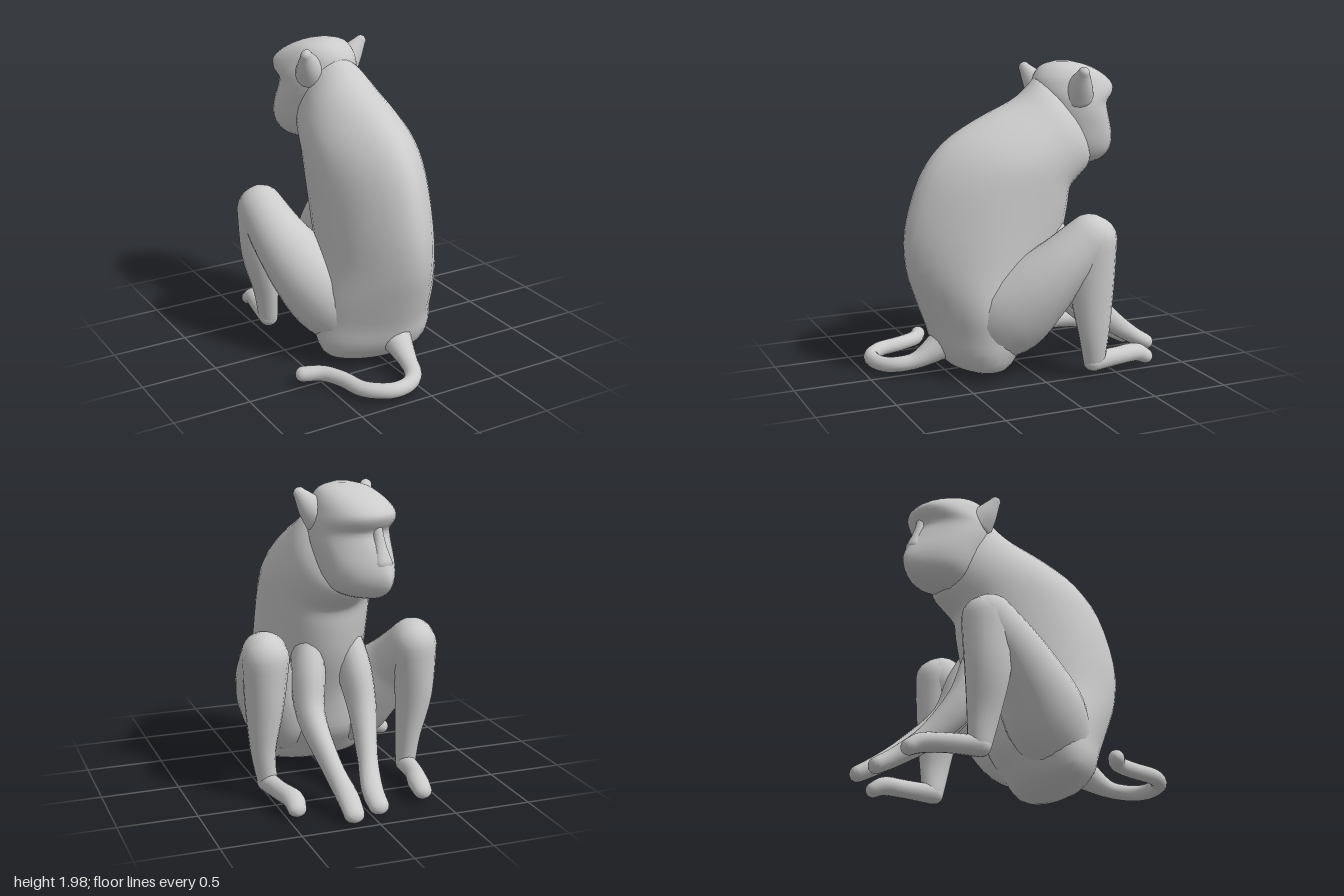
import * as THREE from 'three';

const material = new THREE.MeshStandardMaterial({ color: 0xcccccc });

// Skin a list of equal rings into a closed, smooth, outward-facing surface
function skin(rings, name) {
  const n = rings[0].length, pos = [], idx = [];
  rings.forEach(r => r.forEach(p => pos.push(p.x, p.y, p.z)));
  for (let i = 0; i < rings.length - 1; i++)
    for (let j = 0; j < n; j++) {
      const a = i * n + j, b = i * n + (j + 1) % n;
      idx.push(a, b, a + n, b, b + n, a + n);
    }
  [0, rings.length - 1].forEach((row, end) => {
    const c = new THREE.Vector3();
    rings[row].forEach(p => c.addScaledVector(p, 1 / n));
    const ci = pos.length / 3;
    pos.push(c.x, c.y, c.z);
    for (let j = 0; j < n; j++) {
      const a = row * n + j, b = row * n + (j + 1) % n;
      end ? idx.push(a, b, ci) : idx.push(b, a, ci);
    }
  });
  // Turn the faces outward using the signed volume
  const v = i => new THREE.Vector3().fromArray(pos, i * 3);
  let volume = 0;
  for (let i = 0; i < idx.length; i += 3) volume += v(idx[i]).dot(v(idx[i + 1]).cross(v(idx[i + 2])));
  if (volume < 0) idx.reverse();
  const g = new THREE.BufferGeometry();
  g.setAttribute('position', new THREE.Float32BufferAttribute(pos, 3));
  g.setIndex(idx);
  g.computeVertexNormals();
  const mesh = new THREE.Mesh(g, material);
  mesh.name = name;
  return mesh;
}

// Smoothly interpolate between rows of numbers
function refine(rows, steps) {
  const out = [], at = i => rows[Math.min(Math.max(i, 0), rows.length - 1)];
  for (let i = 0; i < rows.length - 1; i++)
    for (let s = 0; s < steps; s++) {
      const t = s / steps;
      out.push(rows[i].map((b, k) => {
        const a = at(i - 1)[k], c = at(i + 1)[k], d = at(i + 2)[k];
        return b + 0.5 * t * (c - a + t * (2 * a - 5 * b + 4 * c - d + t * (3 * (b - c) + d - a)));
      }));
    }
  out.push(rows[rows.length - 1]);
  return out;
}

// Body from stations [back y, back z, front y, front z, centre x, half width, front pinch, back pinch]
function body(stations, name, n = 32) {
  return skin(refine(stations, 3).map(([yb, zb, yf, zf, cx, w, kf, kb]) =>
    Array.from({ length: n }, (_, j) => {
      const a = j / n * Math.PI * 2, u = Math.cos(a);
      const pinch = 1 - (u > 0 ? kf : kb) * u * u;
      return new THREE.Vector3(cx + w * Math.sin(a) * pinch,
        (yb + yf) / 2 + u * (yf - yb) / 2, (zb + zf) / 2 + u * (zf - zb) / 2);
    })), name);
}

// Round-ended limb through [x, y, z, radius along ref, radius across ref]
function limb(rows, name, ref = [1, 0, 0], n = 16) {
  const pts = refine(rows, 4), last = pts.length - 1, rings = [];
  const P = i => new THREE.Vector3(...pts[Math.min(Math.max(i, 0), last)].slice(0, 3));
  const ring = (i, scale, push) => {
    const t = P(i + 1).sub(P(i - 1)).normalize();
    const side = new THREE.Vector3(...ref);
    side.addScaledVector(t, -side.dot(t)).normalize();
    const up = t.clone().cross(side);
    const [ra, rb] = pts[i].slice(3), c = P(i).addScaledVector(t, push * Math.min(ra, rb));
    rings.push(Array.from({ length: n }, (_, j) => {
      const a = j / n * Math.PI * 2;
      return c.clone().addScaledVector(side, Math.cos(a) * ra * scale).addScaledVector(up, Math.sin(a) * rb * scale);
    }));
  };
  const caps = [1.4, 1.05, 0.7, 0.35];
  caps.forEach(a => ring(0, Math.cos(a), -Math.sin(a)));
  pts.forEach((_, i) => ring(i, 1, 0));
  caps.reverse().forEach(a => ring(last, Math.cos(a), Math.sin(a)));
  return skin(rings, name);
}

function createHead() {
  const head = new THREE.Group();
  head.name = 'head';
  // Skull with muzzle, eye hollow and brow, from chin to crown
  head.add(body([
    [1.32, -0.10, 1.31, -0.28, 0, 0.06, 0, 0],
    [1.38, 0.00, 1.33, -0.41, 0, 0.15, 0.35, 0],
    [1.45, 0.04, 1.38, -0.49, 0, 0.20, 0.5, 0],
    [1.52, 0.08, 1.45, -0.52, 0, 0.225, 0.55, 0],
    [1.60, 0.10, 1.53, -0.50, 0, 0.24, 0.5, 0],
    [1.68, 0.12, 1.63, -0.45, 0, 0.25, 0.4, 0],
    [1.75, 0.13, 1.72, -0.40, 0, 0.25, 0.1, 0],
    [1.80, 0.14, 1.78, -0.435, 0, 0.245, -0.12, 0],
    [1.85, 0.14, 1.84, -0.45, 0, 0.23, -0.15, 0],
    [1.91, 0.12, 1.91, -0.37, 0, 0.205, -0.1, 0],
    [1.97, 0.06, 1.97, -0.24, 0, 0.155, 0, 0],
    [2.00, -0.02, 2.00, -0.12, 0, 0.05, 0, 0],
  ], 'skull'));
  // Bridge of the nose
  head.add(limb([[0, 1.77, -0.39, 0.03, 0.03], [0, 1.66, -0.415, 0.04, 0.035], [0, 1.55, -0.45, 0.065, 0.045]], 'nose'));
  // Pointed ears, broad where they meet the skull
  for (const s of [1, -1])
    head.add(limb([[s * 0.16, 1.79, -0.05, 0.11, 0.10], [s * 0.215, 1.865, -0.02, 0.075, 0.08],
      [s * 0.27, 1.945, 0.01, 0.035, 0.04]], 'ear', [0, 0, 1]));
  head.position.set(0.03, 0, -0.27);
  head.rotation.y = 0.35;
  return head;
}

// Folded hind leg on side s, with its ankle and toe at the given x distances
function createLeg(s, ankle, toe) {
  const leg = new THREE.Group();
  leg.name = 'hindLeg';
  leg.add(limb([
    [s * 0.15, 0.28, 0.30, 0.20, 0.22],
    [s * 0.27, 0.42, 0.16, 0.235, 0.27],
    [s * 0.37, 0.60, 0.01, 0.225, 0.235],
    [s * 0.45, 0.76, -0.13, 0.185, 0.19],
    [s * 0.50, 0.93, -0.30, 0.15, 0.16],
  ], 'thigh', [1, 0, 0], 24));
  leg.add(limb([
    [s * 0.50, 0.92, -0.315, 0.15, 0.16],
    [s * 0.51, 0.60, -0.31, 0.12, 0.145],
    [s * (ankle + 0.02), 0.32, -0.32, 0.08, 0.105],
    [s * ankle, 0.13, -0.335, 0.065, 0.075],
  ], 'shin'));
  leg.add(limb([
    [s * ankle, 0.115, -0.33, 0.065, 0.065],
    [s * (ankle * 0.6 + toe * 0.4), 0.12, -0.52, 0.06, 0.06],
    [s * toe, 0.115, -0.67, 0.068, 0.06],
    [s * toe, 0.08, -0.745, 0.06, 0.05],
  ], 'foot'));
  return leg;
}

// Arm from inside the chest to the hand on side s, reaching to the given hand x and z
function createArm(s, x, handX, handZ) {
  return limb([
    [s * 0.13 + 0.03, 0.95, -0.13, 0.10, 0.13],
    [x * 0.9, 0.76, -0.22, 0.11, 0.14],
    [x, 0.52, -0.34, 0.09, 0.11],
    [x * 0.5 + handX * 0.5, 0.28, handZ + 0.31, 0.065, 0.078],
    [handX, 0.14, handZ + 0.12, 0.07, 0.06],
    [handX, 0.068, handZ, 0.065, 0.052],
  ], 'arm');
}

export function createModel() {
  const model = new THREE.Group();
  model.name = 'sittingMonkey';

  // Torso from rump through the neck into the skull
  model.add(body([
    [0.03, 0.36, 0.03, 0.20, 0.02, 0.18, 0, 0],
    [0.07, 0.48, 0.08, 0.09, 0.01, 0.345, 0.05, 0.1],
    [0.18, 0.57, 0.18, 0.0, 0.01, 0.40, 0.05, 0.2],
    [0.32, 0.62, 0.29, -0.09, 0.015, 0.41, 0.05, 0.3],
    [0.50, 0.69, 0.44, -0.14, 0.025, 0.40, 0.05, 0.3],
    [0.72, 0.76, 0.60, -0.19, 0.035, 0.365, 0.05, 0.3],
    [0.98, 0.765, 0.85, -0.29, 0.035, 0.355, 0, 0.3],
    [1.30, 0.665, 1.05, -0.33, 0.035, 0.35, -0.1, 0.3],
    [1.51, 0.505, 1.15, -0.34, 0.035, 0.345, -0.1, 0.3],
    [1.65, 0.275, 1.20, -0.36, 0.035, 0.325, -0.05, 0.2],
    [1.76, 0.03, 1.25, -0.42, 0.035, 0.285, 0, 0.05],
    [1.84, -0.08, 1.32, -0.50, 0.03, 0.245, 0.1, 0],
    [1.90, -0.15, 1.42, -0.52, 0.01, 0.19, 0.2, 0],
    [1.92, -0.25, 1.55, -0.50, 0.0, 0.08, 0, 0],
  ], 'torso'));

  model.add(createHead(), createLeg(1, 0.505, 0.445), createLeg(-1, 0.45, 0.39));

  // Arms reaching down between the knees, one hand a little ahead
  model.add(createArm(1, 0.21, 0.14, -0.92), createArm(-1, -0.14, -0.05, -0.85));

  // Tail curling to one side
  model.add(limb([
    [0.03, 0.25, 0.46, 0.12, 0.13], [0.03, 0.175, 0.58, 0.085, 0.09], [0.02, 0.115, 0.70, 0.055, 0.06],
    [-0.02, 0.09, 0.82, 0.05, 0.055], [-0.11, 0.08, 0.90, 0.05, 0.05], [-0.25, 0.085, 0.92, 0.05, 0.05],
    [-0.38, 0.085, 0.82, 0.05, 0.05], [-0.43, 0.09, 0.66, 0.05, 0.05], [-0.50, 0.09, 0.53, 0.05, 0.05],
    [-0.61, 0.085, 0.465, 0.05, 0.05],
  ], 'tail', [0, 1, 0]));

  return model;
}
